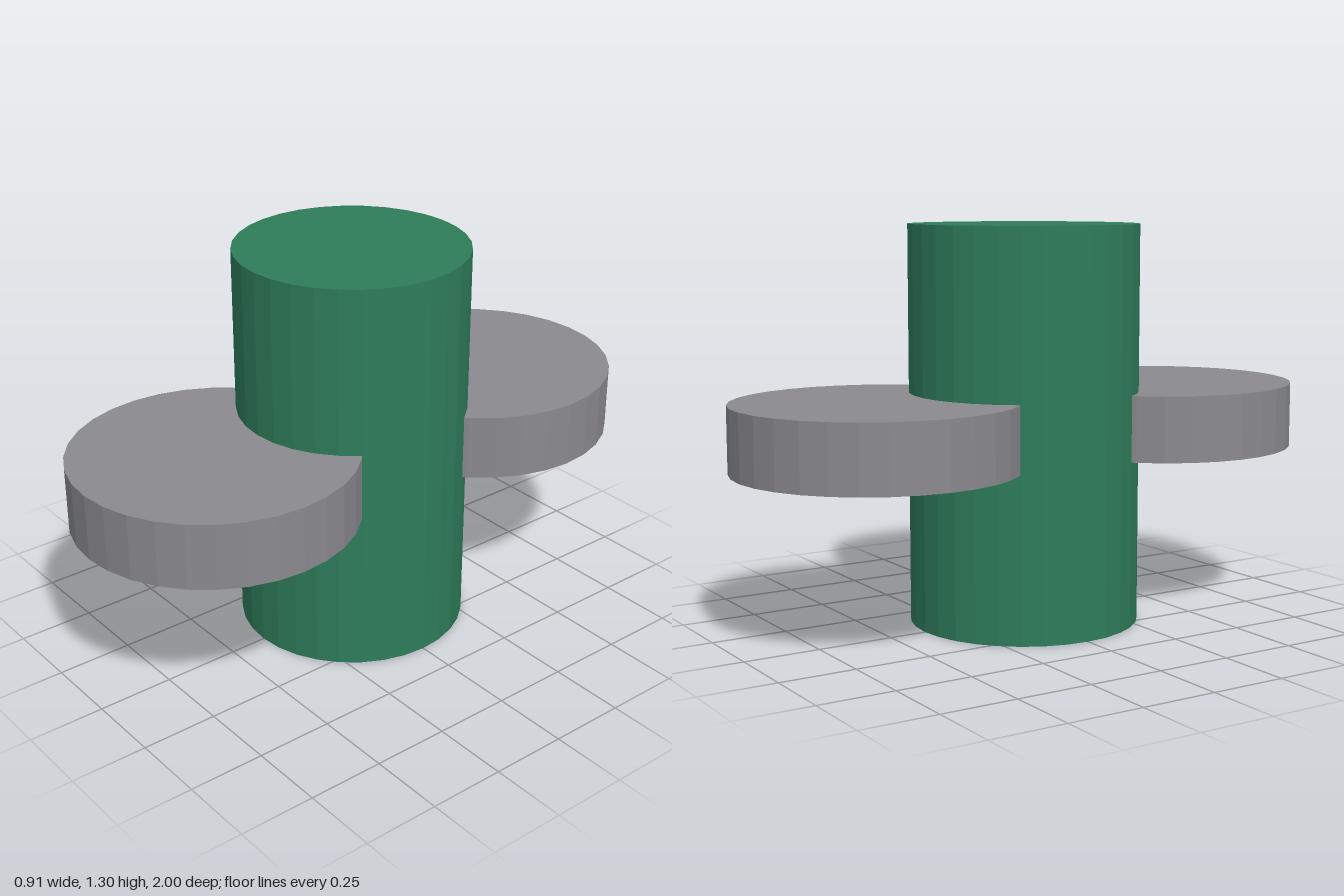
import * as THREE from 'three';

const SIDES = 32;

function cylinder(name, radius, height, material) {
  const mesh = new THREE.Mesh(new THREE.CylinderGeometry(radius, radius, height, SIDES), material);
  mesh.name = name;
  return mesh;
}

export function createModel() {
  const group = new THREE.Group();
  group.name = 'columnWithDiscs';
  const green = new THREE.MeshStandardMaterial({ color: 0x2e7d5b, flatShading: true });
  const grey = new THREE.MeshStandardMaterial({ color: 0x8a8a8f, flatShading: true });

  // Upright column
  const column = cylinder('column', 0.376, 1.3, green);
  column.position.y = 0.65;
  group.add(column);

  // Flat discs set into the front and back at mid height
  for (const [name, side] of [['frontDisc', 1], ['backDisc', -1]]) {
    const disc = cylinder(name, 0.457, 0.215, grey);
    disc.position.set(0, 0.65, side * 0.543);
    group.add(disc);
  }
  return group;
}
